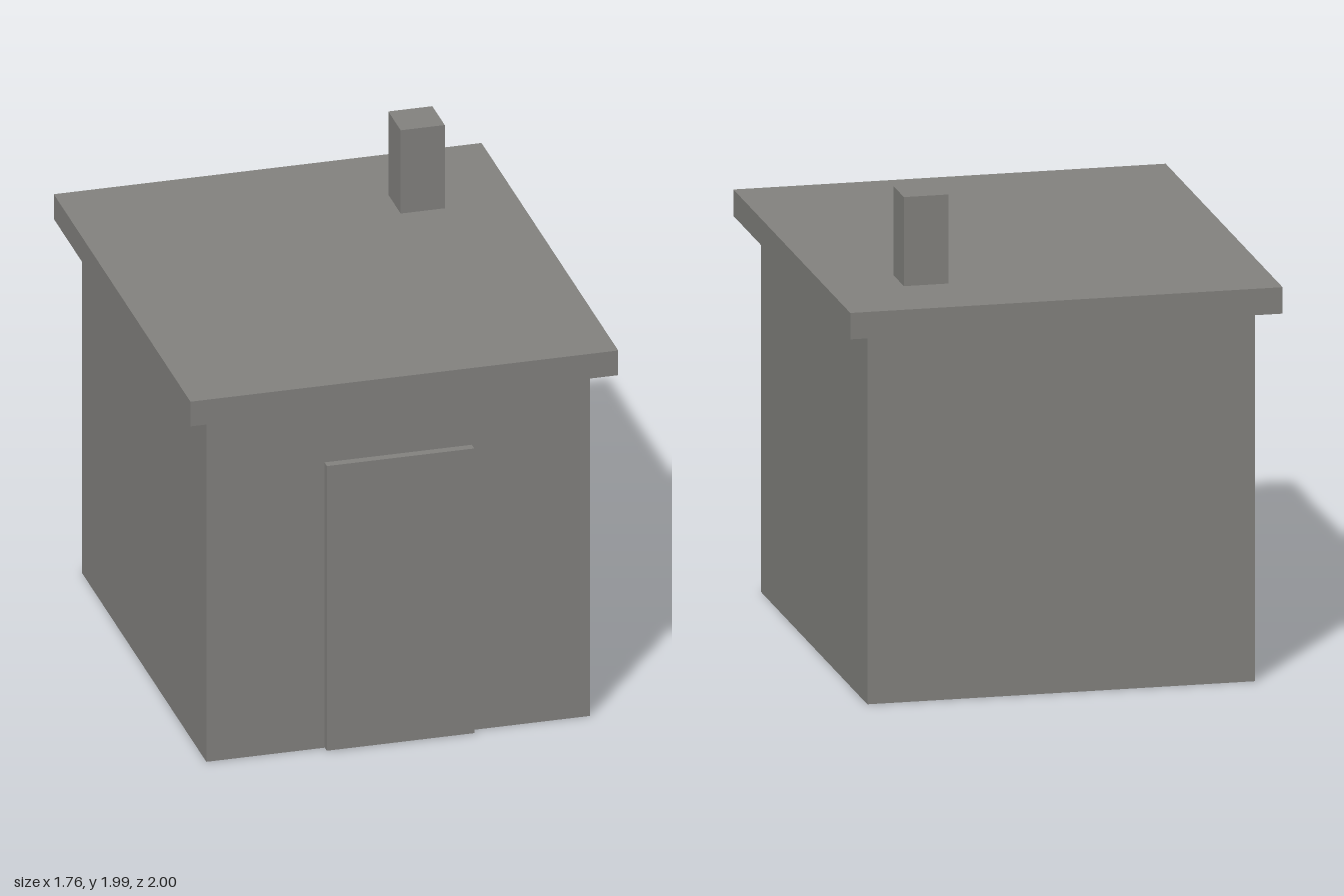
import * as THREE from 'three';

export function createModel() {
  const group = new THREE.Group();
  group.name = 'hut';

  const stone = new THREE.MeshStandardMaterial({ color: 0x848380 });
  stone.name = 'warm grey';

  // Box given by its extents along each axis
  function block(name, [x0, x1], [y0, y1], [z0, z1]) {
    const mesh = new THREE.Mesh(new THREE.BoxGeometry(x1 - x0, y1 - y0, z1 - z0), stone);
    mesh.position.set((x0 + x1) / 2, (y0 + y1) / 2, (z0 + z1) / 2);
    mesh.name = name;
    group.add(mesh);
  }

  block('walls', [-0.788, 0.788], [0, 1.52], [-0.909, 0.909]);
  // Flat roof slab overhanging the walls
  block('roof', [-0.879, 0.879], [1.52, 1.628], [-1, 1]);
  // Door slab standing proud of the front wall
  block('door', [-0.303, 0.303], [0.003, 1.248], [0.909, 0.945]);
  // Chimney towards the back left
  block('chimney', [0.394, 0.575], [1.628, 1.992], [-0.638, -0.456]);

  return group;
}
